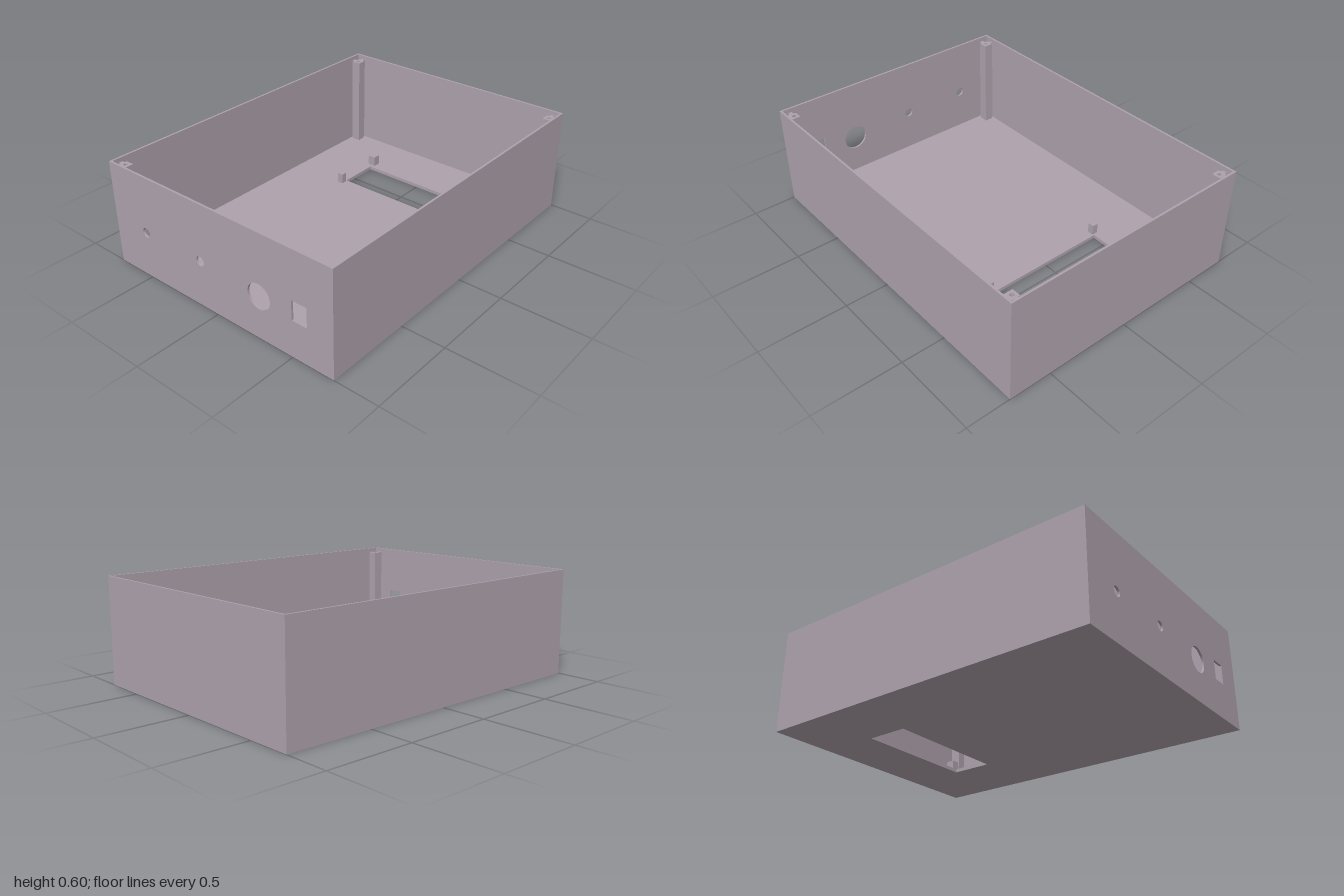
import * as THREE from 'three';

const W = 1.494, L = 2, H = 0.6; // outer size of the tray
const WALL = 0.012, FLOOR = 0.02;

export function createModel() {
  const group = new THREE.Group();
  group.name = 'openEnclosure';
  const material = new THREE.MeshStandardMaterial({ color: 0xaea2ad });

  const add = (name, geometry, x = 0, y = 0, z = 0) => {
    const mesh = new THREE.Mesh(geometry, material);
    mesh.name = name;
    mesh.position.set(x, y, z);
    group.add(mesh);
    return mesh;
  };
  const rect = (x0, y0, x1, y1, Type = THREE.Shape) => new Type([
    [x0, y0], [x1, y0], [x1, y1], [x0, y1],
  ].map(([x, y]) => new THREE.Vector2(x, y)));
  const circle = (x, y, r) => new THREE.Path().absarc(x, y, r, 0, Math.PI * 2, true);
  const extrude = (shape, depth) =>
    new THREE.ExtrudeGeometry(shape, { depth, bevelEnabled: false, curveSegments: 24 });
  // Plan shapes use (x, -z) and rise along y
  const raise = (shape, height) => extrude(shape, height).rotateX(-Math.PI / 2);

  // Floor with display window
  const floor = rect(-W / 2, -L / 2, W / 2, L / 2);
  floor.holes.push(rect(-0.366, 0.422, 0.353, 0.662, THREE.Path));
  add('floor', raise(floor, FLOOR));

  // Front panel with round and rectangular cutouts
  const front = rect(-W / 2, FLOOR, W / 2, H);
  front.holes.push(
    circle(-0.506, 0.268, 0.027),
    circle(-0.102, 0.268, 0.027),
    circle(0.294, 0.245, 0.072),
    rect(0.5, 0.212, 0.592, 0.324, THREE.Path),
  );
  add('frontWall', extrude(front, WALL), 0, 0, L / 2 - WALL);

  // Plain back and side walls
  const wallH = H - FLOOR, wallY = FLOOR + wallH / 2;
  add('backWall', new THREE.BoxGeometry(W, wallH, WALL), 0, wallY, -L / 2 + WALL / 2);
  for (const s of [-1, 1]) {
    add(s < 0 ? 'rightWall' : 'leftWall',
      new THREE.BoxGeometry(WALL, wallH, L - 2 * WALL), s * (W / 2 - WALL / 2), wallY, 0);
  }

  // Corner screw posts: a drilled square joined to both walls by ribs
  const px = 0.693, pz = 0.94, half = 0.026, rib = 0.012;
  const toSide = W / 2 - WALL - px, toEnd = L / 2 - WALL - pz;
  for (const sx of [-1, 1]) {
    for (const sz of [-1, 1]) {
      const post = new THREE.Shape([
        [-half, -half], [half, -half], [half, -rib], [toSide, -rib],
        [toSide, rib], [half, rib], [half, half], [rib, half],
        [rib, toEnd], [-rib, toEnd], [-rib, half], [-half, half],
      ].map(([x, z]) => new THREE.Vector2(sx * x, -sz * z)));
      post.holes.push(circle(0, 0, 0.011));
      add('cornerPost', raise(post, 0.575 - FLOOR), sx * px, FLOOR, sz * pz);
    }
  }

  // Small support blocks around the window
  const blockH = 0.06;
  for (const [x, z, size] of [
    [-0.375, -0.709, 0.048], [0.372, -0.709, 0.048],
    [-0.38, -0.395, 0.036], [0.376, -0.395, 0.036],
  ]) {
    add('supportBlock', new THREE.BoxGeometry(size, blockH, size), x, FLOOR + blockH / 2, z);
  }

  return group;
}
